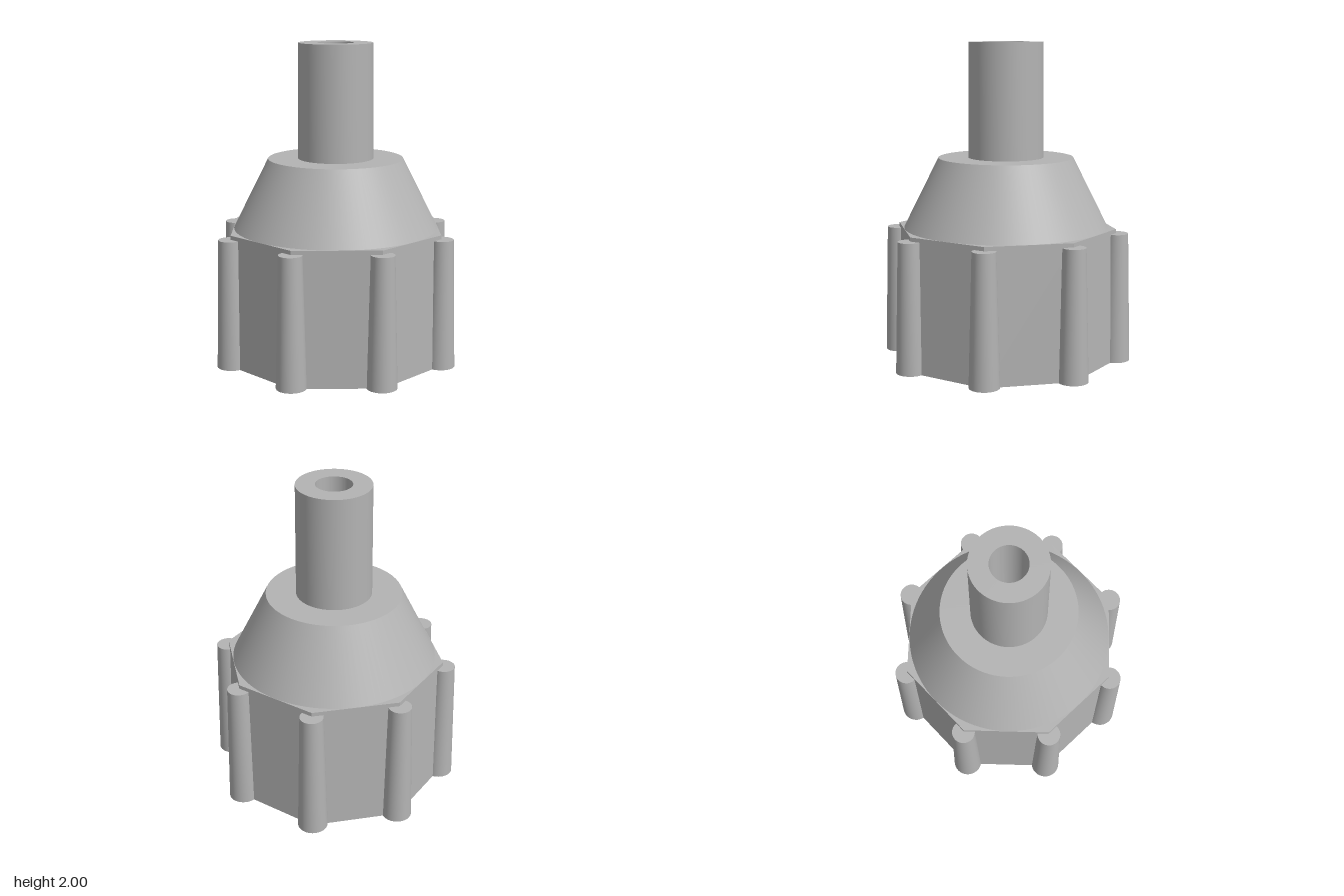
import * as THREE from 'three';
import { toCreasedNormals } from 'three/addons/utils/BufferGeometryUtils.js';

const SIDES = 8, SEG = 96;
const BASE_R = 0.722, TOP_R = 0.70, COLLAR_H = 0.84, SOCKET_R = 0.495;

// Octagonal plate with a round hole, lying in the xy plane
function octagonRing(radius, holeRadius) {
  const pts = [];
  for (let i = 0; i < SIDES; i++) {
    const a = (i / SIDES) * Math.PI * 2;
    pts.push(new THREE.Vector2(Math.cos(a) * radius, Math.sin(a) * radius));
  }
  const shape = new THREE.Shape(pts);
  shape.holes.push(new THREE.Path().absarc(0, 0, holeRadius, 0, Math.PI * 2, true));
  return new THREE.ShapeGeometry(shape, SEG);
}

export function createModel() {
  const model = new THREE.Group();
  const grey = new THREE.MeshStandardMaterial({ color: 0xb3b3b3 });
  grey.name = 'plain grey';

  const add = (name, geometry, parent = model) => {
    const mesh = new THREE.Mesh(geometry, grey);
    mesh.name = name;
    parent.add(mesh);
    return mesh;
  };

  // Octagonal collar, slightly tapered
  const collar = new THREE.Group();
  collar.name = 'collar';
  model.add(collar);
  const wall = new THREE.CylinderGeometry(TOP_R, BASE_R, COLLAR_H, SIDES, 1, true);
  add('collarWall', toCreasedNormals(wall, 0.3), collar).position.y = COLLAR_H / 2;
  add('collarUnderside', octagonRing(BASE_R, SOCKET_R).rotateX(Math.PI / 2), collar);
  add('collarTop', octagonRing(TOP_R, 0.6).rotateX(-Math.PI / 2), collar).position.y = COLLAR_H;

  // Cone, spout, through bore and flared socket in one turned profile
  const profile = [
    [0.645, COLLAR_H], [0.425, 1.28], [0.237, 1.28], [0.232, 2],
    [0.113, 2], [0.113, 0.96], [SOCKET_R, 0.2], [SOCKET_R, 0],
  ].map(([r, y]) => new THREE.Vector2(r, y));
  add('nozzle', toCreasedNormals(new THREE.LatheGeometry(profile, SEG), 0.4));

  // Tapered grip ribs on each corner of the collar
  const ribHeight = 0.815;
  const ribGeometry = new THREE.CylinderGeometry(0.072, 0.093, ribHeight, 32);
  for (let i = 0; i < SIDES; i++) {
    const a = (i / SIDES) * Math.PI * 2;
    add('gripRib', ribGeometry).position.set(Math.cos(a) * 0.705, ribHeight / 2, Math.sin(a) * 0.705);
  }

  return model;
}
